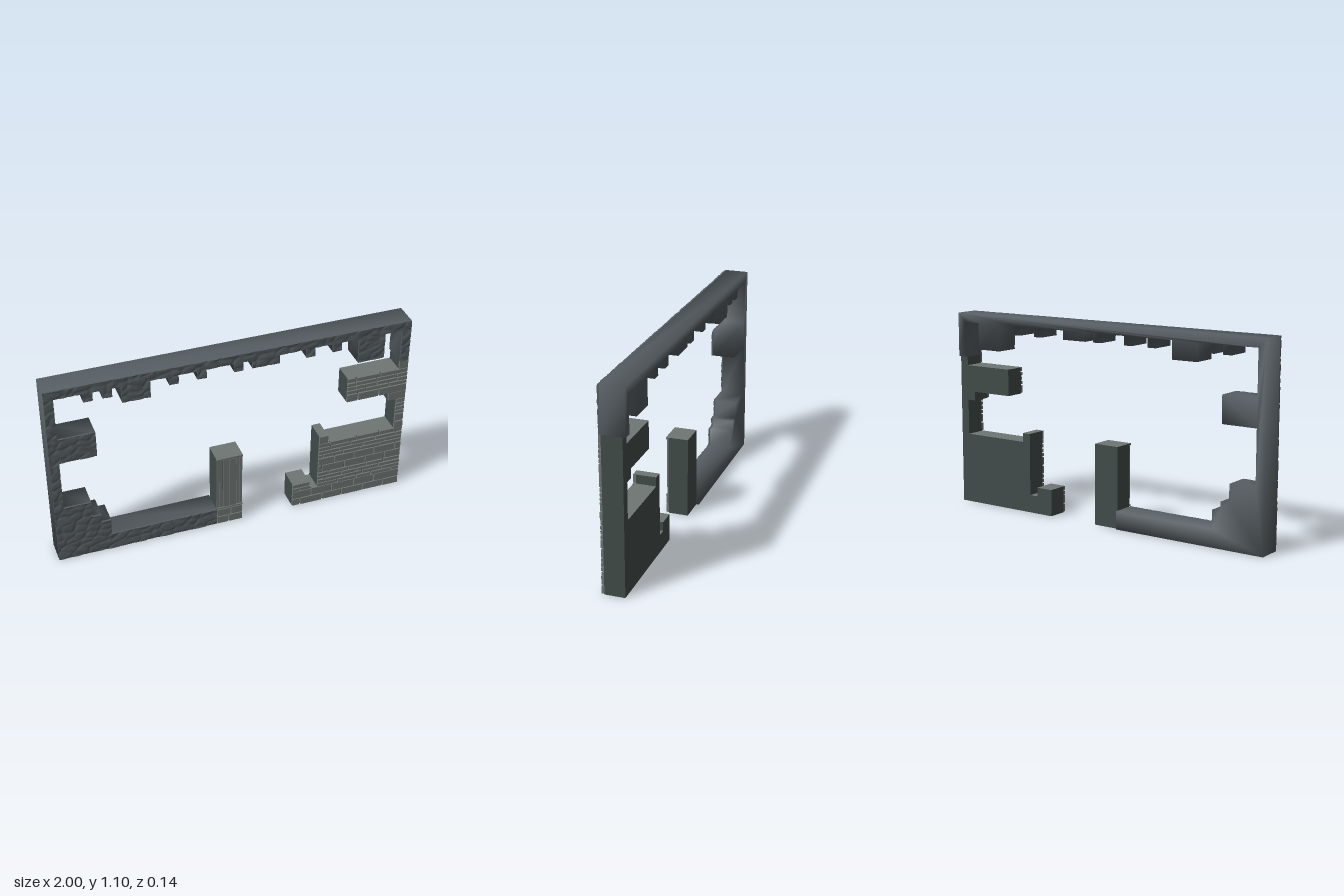
import * as THREE from 'three';
import { mergeVertices, mergeGeometries } from 'three/addons/utils/BufferGeometryUtils.js';

const mat = (color) => new THREE.MeshStandardMaterial({ color });
const FRONT = 0.07, ROCK_FACE = 0.058, WALL = 0.055;

// Hanging stones under the top beam: left, right, bottom
const TEETH = [
  [-0.8, -0.75, 1], [-0.7, -0.65, 1], [-0.6, -0.45, 0.95], [-0.35, -0.3, 1], [-0.2, -0.15, 1],
  [0, 0.05, 1], [0.1, 0.25, 1], [0.4, 0.45, 1], [0.55, 0.6, 1], [0.7, 0.85, 0.9],
];
// Rock face pieces: x0, x1, y0, y1
const ROCK_RECTS = [
  [-1, 1, 1.05, 1.1], [-1, -0.95, 0.35, 1.05], [0.95, 1, 0.85, 1.05], [-0.95, -0.75, 0.65, 0.8],
  [-1, -0.1, 0, 0.1], [-1, -0.7, 0.1, 0.2], [-1, -0.75, 0.2, 0.25], [-1, -0.8, 0.25, 0.35],
  ...TEETH.map(([a, b, y]) => [a, b, y, 1.05]),
];
// Brick wall pieces
const BRICK_RECTS = [
  [0.35, 1, 0, 0.1], [0.35, 0.45, 0.1, 0.15], [0.5, 1, 0.1, 0.4], [0.5, 0.55, 0.4, 0.45],
  [0.95, 1, 0.4, 0.6], [0.9, 1, 0.6, 0.65], [0.65, 1, 0.65, 0.8], [0.95, 1, 0.8, 0.85],
];

function hash(i, j) {
  const s = Math.sin(i * 127.1 + j * 311.7) * 43758.5453;
  return s - Math.floor(s);
}

// Depth of the rubble face: tilted, slightly domed stones
function rubble(x, y) {
  const u = x / 0.07, v = y / 0.045;
  let best = 9, second = 9, tilt = 0;
  for (let i = Math.floor(u) - 1; i <= Math.floor(u) + 1; i++) {
    for (let j = Math.floor(v) - 1; j <= Math.floor(v) + 1; j++) {
      const dx = u - i - hash(i, j), dy = v - j - hash(i + 57, j + 13);
      const d = Math.hypot(dx, dy);
      if (d < best) {
        second = best;
        best = d;
        tilt = dx * (hash(i, j + 91) - 0.5) + dy * (hash(i + 31, j) - 0.5);
      } else if (d < second) second = d;
    }
  }
  const dome = Math.min(1, (second - best) * 3);
  return THREE.MathUtils.clamp(FRONT - 0.005 + 0.004 * dome + 0.006 * tilt, 0.061, FRONT);
}

function rockBody(material) {
  const pts = [
    [1, 0.85], [1, 1.1], [-1, 1.1], [-1, 0], [-0.1, 0], [-0.1, 0.1], [-0.7, 0.1], [-0.7, 0.2],
    [-0.75, 0.2], [-0.75, 0.25], [-0.8, 0.25], [-0.8, 0.35], [-0.95, 0.35], [-0.95, 0.65],
    [-0.75, 0.65], [-0.75, 0.8], [-0.95, 0.8], [-0.95, 1.05],
  ];
  for (const [a, b, y] of TEETH) pts.push([a, 1.05], [a, y], [b, y], [b, 1.05]);
  pts.push([0.95, 1.05], [0.95, 0.85]);
  const shape = new THREE.Shape(pts.map(([x, y]) => new THREE.Vector2(x, y)));
  const depth = ROCK_FACE + FRONT;
  const src = new THREE.ExtrudeGeometry(shape, { depth, bevelEnabled: false }).attributes.position;
  // Leave the front open for the rubble face, then weld for soft shading
  const kept = [];
  for (let i = 0; i < src.count; i += 3) {
    const tri = [i, i + 1, i + 2];
    if (tri.every((k) => src.getZ(k) > depth - 1e-4)) continue;
    for (const k of tri) kept.push(src.getX(k), src.getY(k), src.getZ(k) - FRONT);
  }
  let geo = new THREE.BufferGeometry();
  geo.setAttribute('position', new THREE.Float32BufferAttribute(kept, 3));
  geo = mergeVertices(geo, 1e-4);
  geo.computeVertexNormals();
  const mesh = new THREE.Mesh(geo, material);
  mesh.name = 'rockFrameBody';
  return mesh;
}

function rockFace(material) {
  const parts = ROCK_RECTS.map(([x0, x1, y0, y1]) => {
    const w = x1 - x0, h = y1 - y0, t = FRONT - ROCK_FACE;
    const g = new THREE.BoxGeometry(w, h, t, Math.round(w * 120), Math.round(h * 120), 1);
    g.translate((x0 + x1) / 2, (y0 + y1) / 2, ROCK_FACE + t / 2);
    const p = g.attributes.position;
    for (let i = 0; i < p.count; i++) {
      if (p.getZ(i) > ROCK_FACE + t / 2) p.setZ(i, rubble(p.getX(i), p.getY(i)));
    }
    g.computeVertexNormals();
    return g;
  });
  const mesh = new THREE.Mesh(mergeGeometries(parts), material);
  mesh.name = 'rubbleFace';
  return mesh;
}

function block(x0, x1, y0, y1, z0, z1) {
  const g = new THREE.BoxGeometry(x1 - x0, y1 - y0, z1 - z0);
  return g.translate((x0 + x1) / 2, (y0 + y1) / 2, (z0 + z1) / 2);
}

// Courses follow 0.1 bands: two tall rows, then four thin rows
function brickFace(rects, width) {
  const parts = [], gap = 0.0035;
  for (const [x0, x1, y0, y1] of rects) {
    for (let y = y0; y < y1 - 1e-4;) {
      const thin = Math.floor(y * 10 + 1e-4) % 2 === 1;
      const h = thin ? 0.025 : 0.05;
      const row = Math.round(y / 0.025);
      const step = width * (thin ? 0.85 + 0.3 * hash(row, 5) : 1);
      const shift = thin ? hash(row, 2) * step : (Math.round(y / 0.05) % 2) * step * 0.5;
      let a = x0;
      for (let k = Math.floor((x0 - shift) / step) + 1; a < x1 - 1e-4; k++) {
        let b = Math.min(x1, shift + k * step + (hash(k, row) - 0.5) * 0.025);
        if (b - a < 0.02 && b < x1) continue;
        if (x1 - b < 0.02) b = x1;
        // Outer ends stay flush with the wall
        const left = a === x0 ? 0 : gap, right = b === x1 ? 0 : gap;
        const z = FRONT - 0.003 * hash(k + 3, row + 7);
        parts.push(block(a + left, b - right, y + gap, y + h - (y + h > y1 - 1e-4 ? 0 : gap), WALL, z));
        a = b;
      }
      y += h;
    }
  }
  return mergeGeometries(parts);
}

export function createModel() {
  const model = new THREE.Group();
  model.name = 'ruinedWall';
  const rock = mat(0x565d62), stone = mat(0x6f7673), core = mat(0x414b49);
  const sides = [core, core, stone, core, core, core];

  const add = (parent, name, geo, material) => {
    const mesh = new THREE.Mesh(geo, material);
    mesh.name = name;
    parent.add(mesh);
  };

  // Rough rock frame
  const frame = new THREE.Group();
  frame.name = 'rockFrame';
  frame.add(rockBody(rock), rockFace(rock));
  model.add(frame);

  // Broken brick wall with pale tops
  const wall = new THREE.Group();
  wall.name = 'brickWall';
  for (const r of BRICK_RECTS) add(wall, 'wallCore', block(...r, -WALL, WALL), sides);
  add(wall, 'bricks', brickFace(BRICK_RECTS, 0.13), stone);
  model.add(wall);

  // Fluted pillar on a brick foot
  const pillar = new THREE.Group();
  pillar.name = 'pillar';
  add(pillar, 'pillarCore', block(-0.1, 0.05, 0, 0.45, -WALL, WALL), sides);
  const foot = [[-0.1, -0.035, 0, 0.05], [-0.035, 0.05, 0, 0.05], [-0.1, -0.02, 0.05, 0.1], [-0.02, 0.05, 0.05, 0.1]];
  add(pillar, 'pillarFoot', mergeGeometries(foot.map(([a, b, c, d]) =>
    block(a + 0.003, b - 0.003, c + 0.003, d - 0.003, WALL, FRONT))), stone);
  const edges = [-0.1, -0.083, -0.063, -0.025, 0.014, 0.034, 0.05];
  const flutes = edges.slice(1).map((b, i) =>
    block(edges[i] + 0.002, b - 0.002, 0.112, 0.436, WALL, i === 2 || i === 3 ? 0.068 : 0.064));
  add(pillar, 'pillarFlutes', mergeGeometries(flutes), stone);
  add(pillar, 'pillarBands', mergeGeometries([
    block(-0.1, 0.05, 0.102, 0.11, WALL, FRONT), block(-0.1, 0.05, 0.439, 0.45, WALL, FRONT),
  ]), stone);
  model.add(pillar);

  return model;
}
